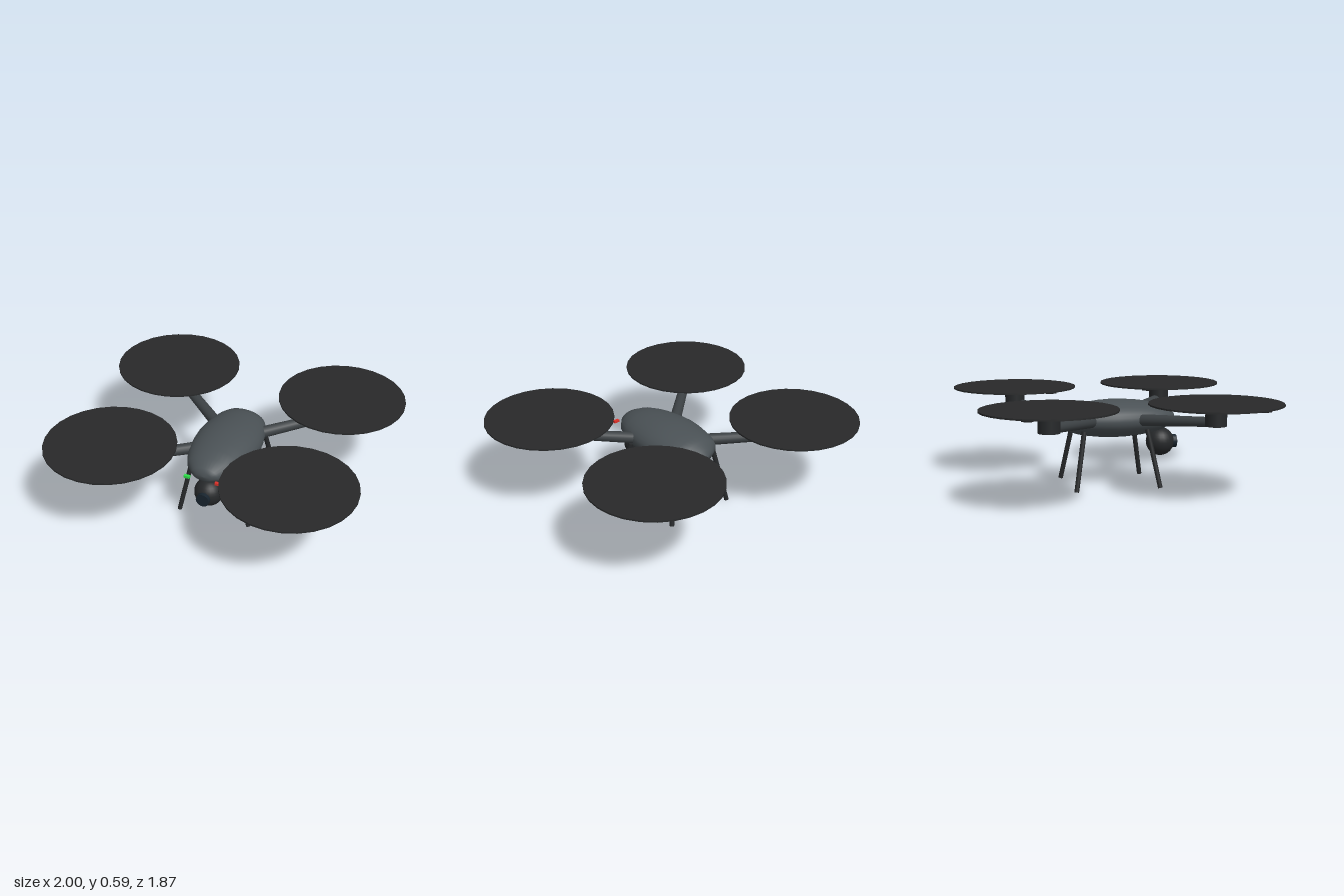
import * as THREE from 'three';

const paint = (color) => new THREE.MeshStandardMaterial({ color });
const V = (x, y, z) => new THREE.Vector3(x, y, z);

export function createModel() {
  const drone = new THREE.Group();
  drone.name = 'drone';

  const shell = paint(0x4a5155);
  const armGrey = paint(0x3c4144);
  const dark = paint(0x26282a);
  const black = paint(0x1c1d1e);
  const disc = paint(0x28292a);
  const glass = paint(0x18242e);

  function add(name, geometry, material, x = 0, y = 0, z = 0, parent = drone) {
    const mesh = new THREE.Mesh(geometry, material);
    mesh.name = name;
    mesh.position.set(x, y, z);
    parent.add(mesh);
    return mesh;
  }

  // Tapered round bar between two points
  function bar(name, from, to, rFrom, rTo, sides, material, parent) {
    const dir = to.clone().sub(from);
    const mid = from.clone().add(to).multiplyScalar(0.5);
    const mesh = add(name, new THREE.CylinderGeometry(rTo, rFrom, dir.length(), sides),
      material, mid.x, mid.y, mid.z, parent);
    mesh.quaternion.setFromUnitVectors(V(0, 1, 0), dir.normalize());
    return mesh;
  }

  // Body: profile [radius, z] turned about the long axis, then flattened
  const profile = [
    [0, -0.337], [0.08, -0.305], [0.145, -0.26], [0.172, -0.21], [0.19, -0.15],
    [0.207, -0.07], [0.215, 0.01], [0.212, 0.09], [0.2, 0.18], [0.18, 0.26],
    [0.147, 0.34], [0.088, 0.408], [0.05, 0.427], [0, 0.432],
  ];
  const body = new THREE.LatheGeometry(profile.map(([r, z]) => new THREE.Vector2(r, z)), 32);
  body.rotateX(Math.PI / 2).scale(1, 0.57, 1);
  add('body', body, shell, 0, 0.432, 0);

  // Arm, motor, rotor and leg at each corner
  for (const sx of [-1, 1]) {
    for (const sz of [-1, 1]) {
      const corner = new THREE.Group();
      corner.name = (sz > 0 ? 'front' : 'rear') + (sx > 0 ? 'Left' : 'Right') + 'Corner';
      drone.add(corner);
      const mx = sx * 0.585, mz = sz * 0.518;

      bar('arm', V(sx * 0.13, 0.433, sz * 0.13), V(sx * 0.595, 0.472, sz * 0.527),
        0.039, 0.03, 16, armGrey, corner);
      add('motor', new THREE.CylinderGeometry(0.067, 0.067, 0.123, 24), dark, mx, 0.508, mz, corner);
      const blade = add('blade', new THREE.BoxGeometry(0.79, 0.008, 0.06), black, mx, 0.574, mz, corner);
      blade.rotation.y = -sx * sz * 0.52;
      add('rotorDisc', new THREE.CylinderGeometry(0.415, 0.415, 0.01, 28), disc, mx, 0.584, mz, corner);
      bar('leg', V(sx * 0.17, 0.375, sz * 0.208), V(sx * 0.24, 0.003, sz * 0.275),
        0.016, 0.015, 10, dark, corner);
    }
  }

  // Camera ball with its lens facing forward
  add('cameraBall', new THREE.SphereGeometry(0.093, 24, 16), dark, 0, 0.265, 0.345);
  const barrel = new THREE.CylinderGeometry(0.044, 0.044, 0.08, 20).rotateX(Math.PI / 2);
  add('lens', barrel, glass, 0, 0.264, 0.412);

  // Navigation lights either side of the nose
  const light = new THREE.BoxGeometry(0.038, 0.016, 0.02);
  add('greenLight', light, paint(0x2ee04a), -0.103, 0.42, 0.445);
  add('redLight', light, paint(0xe03028), 0.103, 0.42, 0.445);

  return drone;
}
